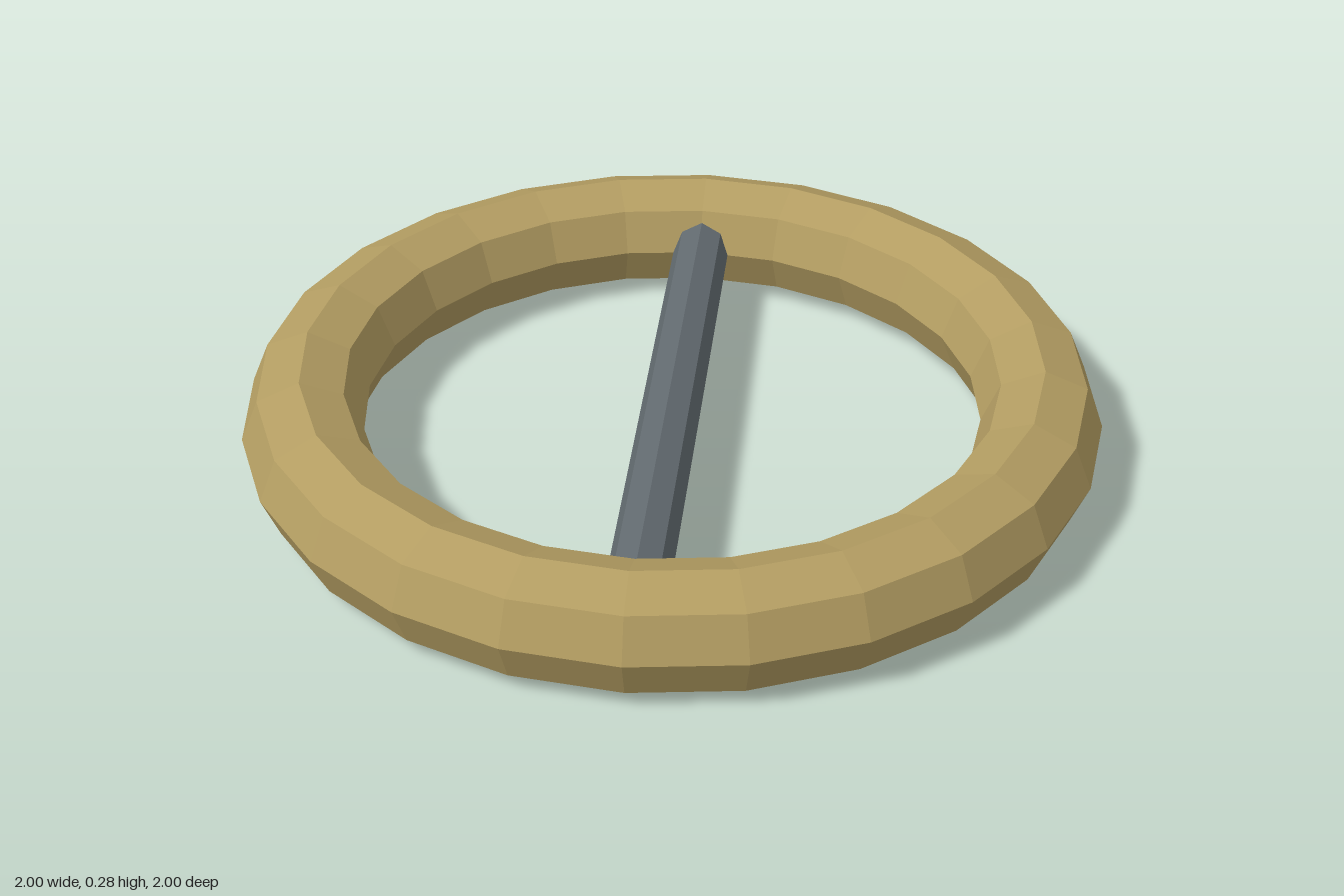
import * as THREE from 'three';

export function createModel() {
  const group = new THREE.Group();
  const brass = new THREE.MeshStandardMaterial({ color: 0xb39d62, flatShading: true });
  brass.name = 'brass';
  const steel = new THREE.MeshStandardMaterial({ color: 0x626a6f, flatShading: true });
  steel.name = 'steel';

  const tube = 0.14;

  // Faceted ring lying flat
  const ring = new THREE.Mesh(new THREE.TorusGeometry(1 - tube, tube, 8, 24), brass);
  ring.name = 'ring';
  ring.rotation.x = Math.PI / 2;
  ring.position.y = tube;

  // Eight-sided bar across the ring, its ends sunk into the tube
  const bar = new THREE.Mesh(new THREE.CylinderGeometry(0.07, 0.07, 1.64, 8), steel);
  bar.name = 'crossBar';
  bar.rotation.x = Math.PI / 2;
  bar.position.y = tube;

  group.add(ring, bar);
  return group;
}
